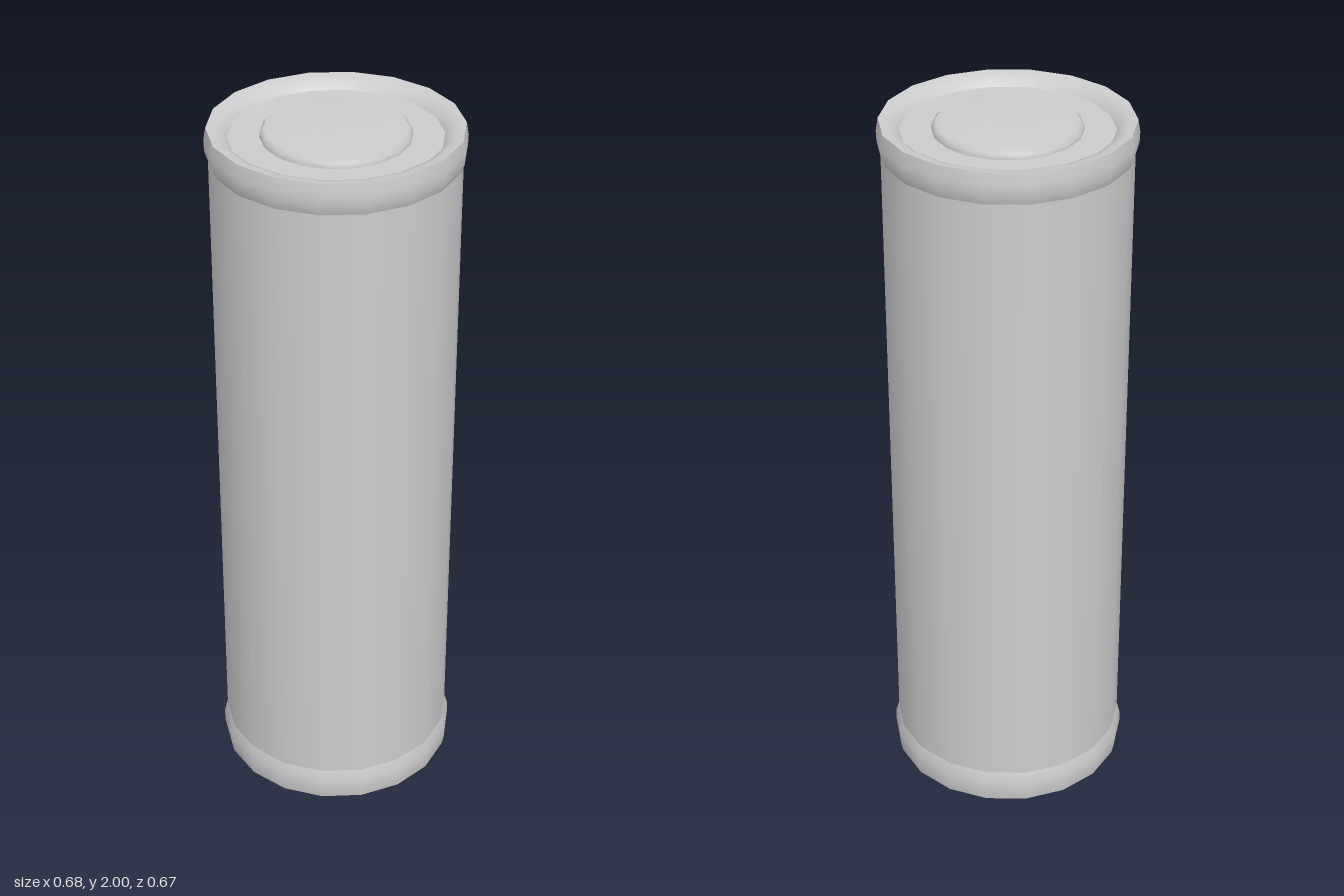
import * as THREE from 'three';

const SIDES = 18;

export function createModel() {
  const model = new THREE.Group();
  model.name = 'canister';
  const metal = new THREE.MeshStandardMaterial({ color: 0xcccccc });
  metal.name = 'light grey metal';

  // Revolves a profile of [radius, height] pairs, with a corner on the x axis
  function turned(name, profile) {
    const points = profile.map(([r, y]) => new THREE.Vector2(r, y));
    const mesh = new THREE.Mesh(new THREE.LatheGeometry(points, SIDES, Math.PI / 2), metal);
    mesh.name = name;
    model.add(mesh);
    return mesh;
  }

  // Straight wall
  turned('body', [[0.33, 0.09], [0.33, 1.915]]);

  // Rolled rims: a bulged band outside, a lip sloping in to the recessed end
  turned('topRimBand', [[0.33, 1.912], [0.339, 1.935], [0.34, 1.965], [0.334, 2]]);
  turned('topRimLip', [[0.334, 2], [0.312, 1.997], [0.292, 1.988], [0.28, 1.972]]);
  turned('bottomRimBand', [[0.334, 0], [0.34, 0.03], [0.339, 0.065], [0.33, 0.095]]);
  turned('bottomRimLip', [[0.288, 0.02], [0.3, 0.008], [0.334, 0]]);

  // Recessed flat ends
  turned('topEnd', [[0.28, 1.972], [0, 1.972]]);
  turned('bottomEnd', [[0, 0.02], [0.288, 0.02]]);

  // Raised round button with a softened edge
  turned('button', [[0.197, 1.972], [0.196, 1.985], [0.185, 1.995], [0, 1.996]]);

  return model;
}
